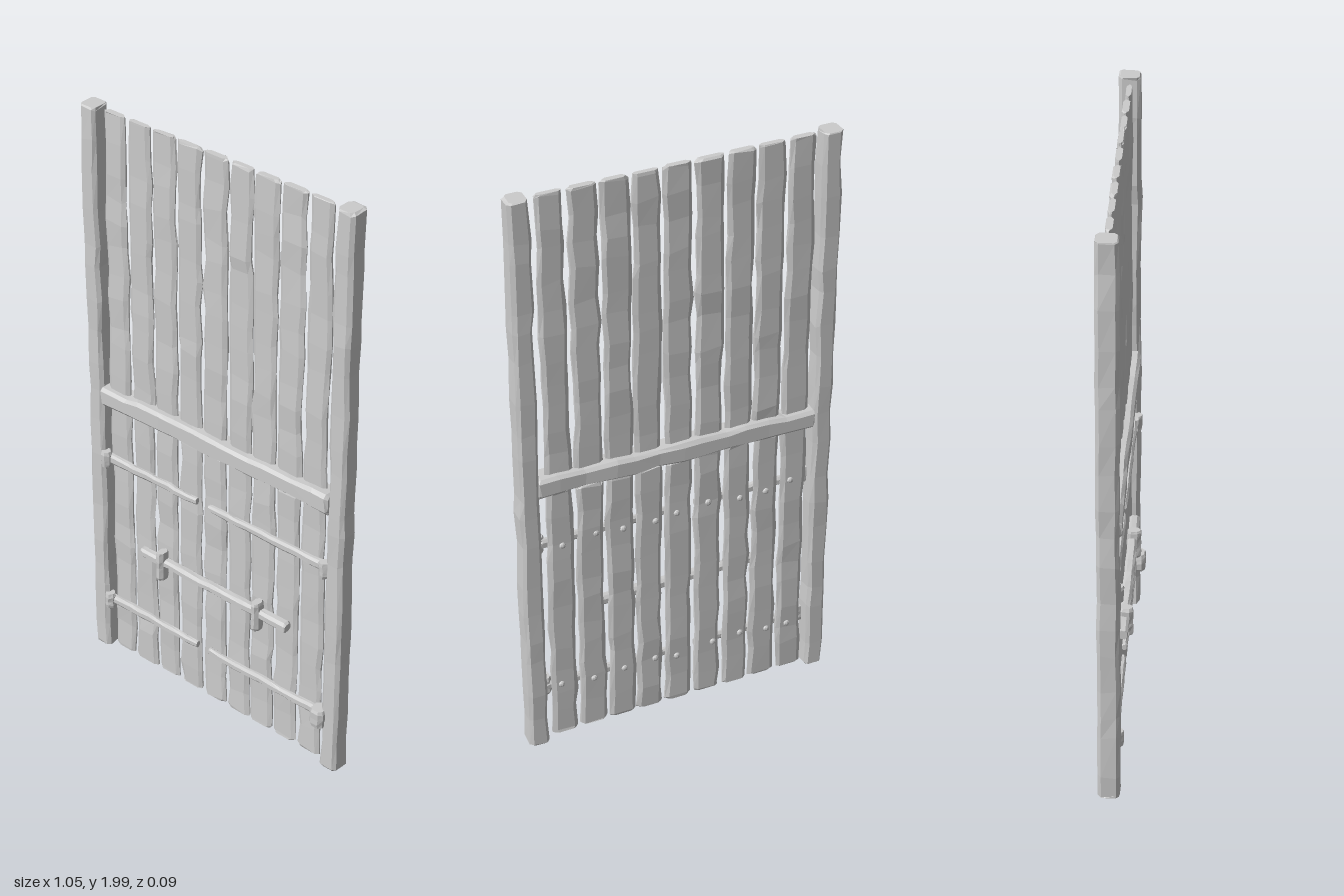
import * as THREE from 'three';

let seed = 7;
const rand = () => { // seeded noise, -1..1
  seed = (seed * 16807) % 2147483647;
  return (seed / 2147483647) * 2 - 1;
};

const material = new THREE.MeshStandardMaterial({ color: 0xcccccc, flatShading: true });

// Rough-hewn timber along y: chamfered section, wobbling from ring to ring.
// w = x width, d = z depth, cx / cz = chamfer sizes, rough = wobble, taper = end scale
function hewn(w, d, length, { cx = 0.01, cz = 0.01, rough = 0.003, rings = 12, taper = 1, bevel = 0.006 } = {}) {
  const a = w / 2, b = d / 2;
  const section = [
    [a, b - cz], [a - cx, b], [-a + cx, b], [-a, b - cz],
    [-a, -b + cz], [-a + cx, -b], [a - cx, -b], [a, -b + cz],
  ];
  const n = section.length, pos = [], index = [];
  const levels = [0];
  for (let i = 0; i <= rings; i++) {
    const inner = i > 0 && i < rings;
    levels.push(bevel + (length - 2 * bevel) * (i + (inner ? rand() * 0.25 : 0)) / rings);
  }
  levels.push(length);
  levels.forEach((y, r) => {
    const end = r === 0 || r === levels.length - 1;
    const s = (end ? 0.86 : 1) * (1 + (taper - 1) * y / length);
    const dx = rand() * rough * 0.5, dz = rand() * rough * 0.3;
    const sx = s * (1 + rand() * rough / w), sz = s * (1 + rand() * rough * 0.5 / d);
    for (const [x, z] of section) {
      pos.push(x * sx + dx + rand() * rough * 0.3, y - length / 2 + (end ? 0 : rand() * rough), z * sz + dz);
    }
  });
  for (let r = 0; r < levels.length - 1; r++) {
    for (let i = 0; i < n; i++) {
      const p = r * n + i, q = r * n + (i + 1) % n;
      index.push(p, q, p + n, q, q + n, p + n);
    }
  }
  // End caps; the section runs clockwise seen from above
  const top = (levels.length - 1) * n;
  for (let i = 1; i < n - 1; i++) {
    index.push(0, i + 1, i, top, top + i, top + i + 1);
  }
  // Orient every face outward
  for (let i = 0; i < index.length; i += 3) [index[i + 1], index[i + 2]] = [index[i + 2], index[i + 1]];
  const g = new THREE.BufferGeometry();
  g.setAttribute('position', new THREE.Float32BufferAttribute(pos, 3));
  g.setIndex(index);
  // A positive signed volume means the winding faces outward
  const v = [0, 1, 2].map(() => new THREE.Vector3());
  let volume = 0;
  for (let i = 0; i < index.length; i += 3) {
    v.forEach((p, k) => p.fromArray(pos, index[i + k] * 3));
    volume += v[0].dot(v[1].clone().cross(v[2]));
  }
  if (volume < 0) g.setIndex(index.reverse());
  const flat = g.toNonIndexed();
  flat.computeVertexNormals();
  return flat;
}

export function createModel() {
  const model = new THREE.Group();
  model.name = 'plankDoor';
  const add = (name, geometry, x, y, z, parent = model) => {
    const mesh = new THREE.Mesh(geometry, material);
    mesh.name = name;
    mesh.position.set(x, y, z);
    parent.add(mesh);
    return mesh;
  };
  const group = (name) => {
    const g = new THREE.Group();
    g.name = name;
    model.add(g);
    return g;
  };

  // Side posts
  for (const side of [-1, 1]) {
    add(side > 0 ? 'leftPost' : 'rightPost',
      hewn(0.064, 0.068, 1.99, { cx: 0.011, cz: 0.011, rough: 0.006, rings: 18 }), side * 0.489, 1.005, -0.01);
  }

  // Middle crossbeam
  add('crossbeam', hewn(0.064, 0.07, 0.92, { rough: 0.006, rings: 12 }), 0, 1.007, -0.009).rotation.z = Math.PI / 2;

  // Planks above the beam, and door boards below it
  const planks = group('upperPlanks'), boards = group('lowerBoards');
  const centres = [-0.403, -0.305, -0.208, -0.108, -0.006, 0.093, 0.188, 0.288, 0.389];
  const wood = { cx: 0.013, cz: 0.008, rough: 0.007 };
  for (const x of centres) {
    const w = 0.088 + rand() * 0.003;
    add('plank', hewn(w, 0.021, 0.99, { ...wood, rings: 11 }), x, 1.5, -0.01, planks).rotation.z = rand() * 0.003;
    add('board', hewn(w - 0.002, 0.021, 0.95, { ...wood, rings: 11 }), x, 0.493, -0.01, boards).rotation.z = rand() * 0.003;
  }

  // Hinge straps, thinning toward the middle, each with a knuckle on the post
  const hinges = group('hinges');
  for (const y of [0.772, 0.208]) {
    for (const side of [-1, 1]) {
      const outer = 0.452, inner = side > 0 ? -0.02 : 0.07;
      const strap = add('hingeStrap',
        hewn(0.032, 0.024, outer - inner, { cx: 0.008, cz: 0.007, rough: 0.004, rings: 9, taper: 0.75 }),
        side * (outer + inner) / 2, y, 0.006, hinges);
      strap.rotation.z = side * Math.PI / 2;
      const big = side > 0 && y < 0.5;
      add('hingeKnuckle',
        hewn(big ? 0.052 : 0.036, big ? 0.05 : 0.036, big ? 0.066 : 0.056, { cx: 0.012, cz: 0.012, rough: 0.003, rings: 2, bevel: 0.012 }),
        side * (side > 0 ? 0.451 : 0.453), y - 0.002, big ? 0.021 : 0.015, hinges);
    }
  }

  // Sliding bar held by two upright keepers
  const latch = group('latch');
  add('latchBar', hewn(0.032, 0.032, 0.61, { cx: 0.008, cz: 0.008, rough: 0.004, rings: 10 }), 0.01, 0.482, 0.018, latch)
    .rotation.z = Math.PI / 2;
  for (const x of [-0.207, 0.194]) {
    add('latchKeeper', hewn(0.03, 0.046, 0.104, { cx: 0.009, cz: 0.012, rough: 0.003, rings: 4, bevel: 0.01 }), x, 0.472, 0.023, latch);
  }

  // Nail heads on the back, one row per hinge line
  const nails = group('nails');
  const nailHead = new THREE.SphereGeometry(0.011, 8, 6);
  for (const y of [0.772, 0.208]) {
    for (const x of centres) {
      add('nail', nailHead, x + rand() * 0.02, y + rand() * 0.012, -0.021, nails).scale.z = 0.7;
    }
  }
  return model;
}
